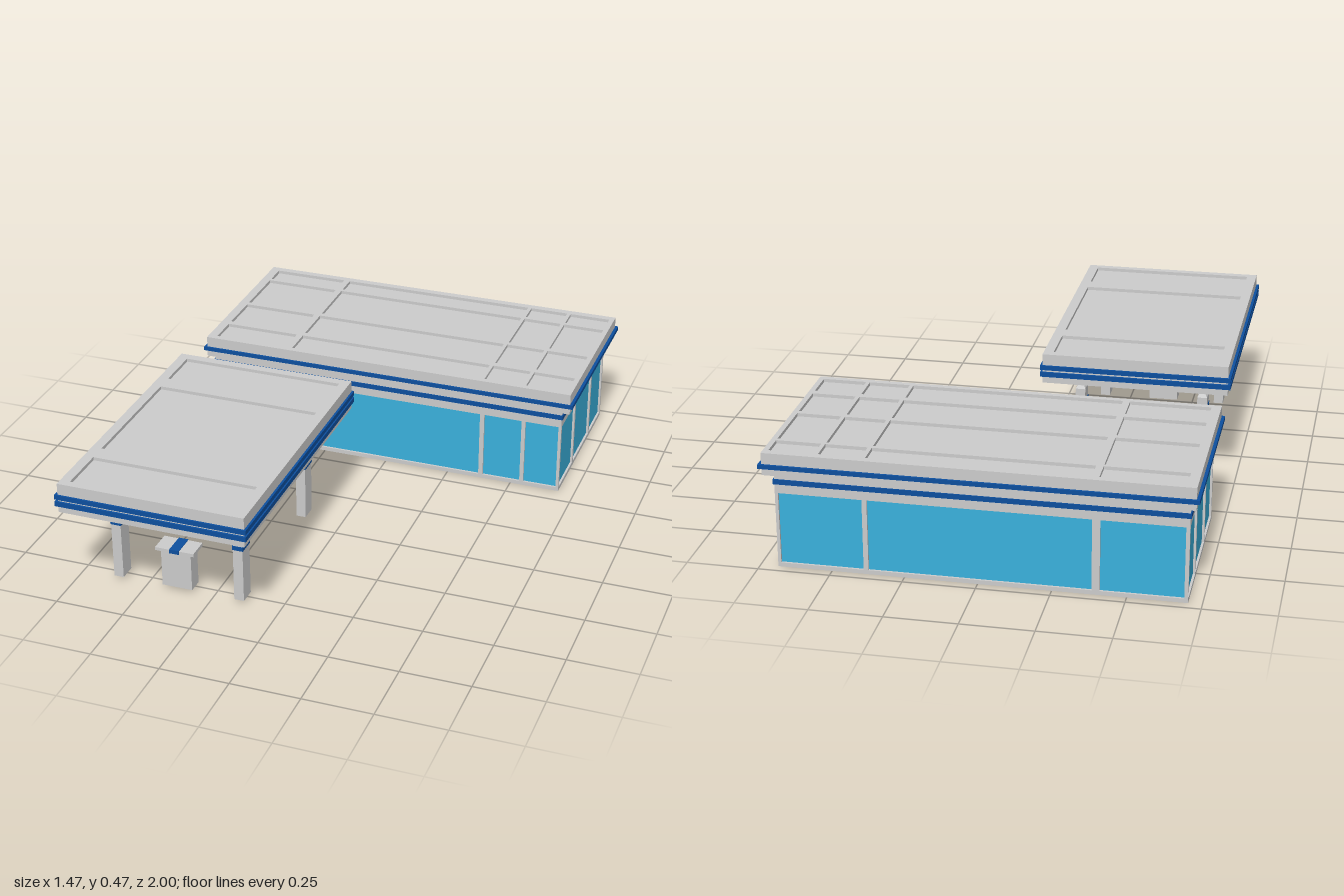
import * as THREE from 'three';

const grey = new THREE.MeshStandardMaterial({ color: 0xcccccc });
const blue = new THREE.MeshStandardMaterial({ color: 0x0d4f9e });
const glass = new THREE.MeshStandardMaterial({ color: 0x3ab0dc });

function addMesh(parent, name, geometry, material = grey) {
  const mesh = new THREE.Mesh(geometry, material);
  mesh.name = name;
  parent.add(mesh);
  return mesh;
}

// Box given by its limits on each axis
function addBox(parent, name, [x0, x1], [y0, y1], [z0, z1], material) {
  const geometry = new THREE.BoxGeometry(x1 - x0, y1 - y0, z1 - z0);
  geometry.translate((x0 + x1) / 2, (y0 + y1) / 2, (z0 + z1) / 2);
  return addMesh(parent, name, geometry, material);
}

// Flat plate with a grid of rectangular openings
function framePlate([u0, u1], [v0, v1], columns, rows, depth) {
  const rect = (Type, a, b, c, d) => new Type([[a, c], [b, c], [b, d], [a, d]].map(p => new THREE.Vector2(...p)));
  const shape = rect(THREE.Shape, u0, u1, v0, v1);
  for (const [a, b] of columns) {
    for (const [c, d] of rows) shape.holes.push(rect(THREE.Path, a, b, c, d));
  }
  return new THREE.ExtrudeGeometry(shape, { depth, bevelEnabled: false });
}

// Horizontal plate: limits in x and z, rising from height y
function addFlatFrame(parent, name, x, z, columns, rows, y, depth) {
  const flip = ([a, b]) => [-b, -a];
  const geometry = framePlate(x, flip(z), columns, rows.map(flip), depth);
  geometry.rotateX(-Math.PI / 2).translate(0, y, 0);
  return addMesh(parent, name, geometry);
}

function createShop() {
  const shop = new THREE.Group();
  shop.name = 'shop';
  const x = [-0.703, 0.688], z = [-0.967, -0.317], t = 0.008;
  const windowY = [[0.015, 0.272]];

  // Glazed core, floor and wall frames
  addBox(shop, 'glazing', [x[0] + t, x[1] - t], [0.01, 0.29], [z[0] + t, z[1] - t], glass);
  addBox(shop, 'floor', x, [0, 0.01], z);
  const wallY = [0.01, 0.345];
  const frontWindows = [[-0.69, -0.41], [-0.383, 0.373], [0.39, 0.535], [0.55, 0.677]];
  const backWindows = [[-0.69, -0.41], [-0.383, 0.373], [0.39, 0.677]];
  const sideWindows = [[-0.957, -0.783], [-0.77, -0.537], [-0.523, -0.328]];
  addMesh(shop, 'frontWall', framePlate(x, wallY, frontWindows, windowY, t)).position.z = z[1] - t;
  addMesh(shop, 'backWall', framePlate(x, wallY, backWindows, windowY, t)).position.z = z[0];
  for (const [name, px] of [['leftWall', x[1]], ['rightWall', x[0] + t]]) {
    const geometry = framePlate([z[0] + t, z[1] - t], wallY, sideWindows, windowY, t).rotateY(-Math.PI / 2);
    addMesh(shop, name, geometry).position.x = px;
  }
  addBox(shop, 'wallStripe', [x[0] - 0.004, x[1] + 0.004], [0.305, 0.323], [z[0] - 0.004, z[1] + 0.004], blue);

  // Overhanging roof with sunken panels
  const roofX = [-0.724, 0.722], roofZ = [-0.992, -0.293];
  addBox(shop, 'roofSlab', roofX, [0.345, 0.413], roofZ);
  addFlatFrame(shop, 'roofRibs', roofX, roofZ,
    [[-0.69, -0.405], [-0.38, 0.373], [0.387, 0.533], [0.547, 0.703]],
    [[-0.965, -0.88], [-0.865, -0.64], [-0.62, -0.455], [-0.43, -0.315]], 0.413, 0.012);
  addBox(shop, 'roofStripe', [-0.735, 0.733], [0.37, 0.385], [-1, -0.286], blue);
  return shop;
}

function createCanopy() {
  const canopy = new THREE.Group();
  canopy.name = 'canopy';
  const x = [-0.718, -0.041], z = [-0.043, 0.993];

  // Slab with sunken panels above and a rim below
  addBox(canopy, 'canopySlab', x, [0.378, 0.46], z);
  addFlatFrame(canopy, 'canopyRibs', x, z, [[-0.682, -0.077]],
    [[-0.01, 0.162], [0.228, 0.722], [0.787, 0.965]], 0.46, 0.012);
  addFlatFrame(canopy, 'canopyRim', x, z, [[x[0] + 0.012, x[1] - 0.012]],
    [[z[0] + 0.012, z[1] - 0.012]], 0.362, 0.016);
  for (const [y0, y1] of [[0.387, 0.405], [0.413, 0.43]]) {
    addBox(canopy, 'canopyStripe', [-0.728, -0.033], [y0, y1], [-0.05, 1], blue);
  }
  return canopy;
}

// Square post with a tapered cap and a thin pipe up to the canopy
function createPost(bandY) {
  const post = new THREE.Group();
  post.name = 'post';
  const w = 0.018, d = 0.031;
  addBox(post, 'postBody', [-w, w], [0.012, 0.273], [-d, d]);
  const cap = new THREE.CylinderGeometry(0.7 * Math.SQRT2, Math.SQRT2, 0.011, 4, 1).toNonIndexed();
  cap.rotateY(Math.PI / 4).scale(w, 1, d).translate(0, 0.2785, 0);
  cap.computeVertexNormals();
  addMesh(post, 'postCap', cap);
  addBox(post, 'postBand', [-w - 0.002, w + 0.002], [bandY, bandY + 0.016], [-d - 0.002, d + 0.002], blue);
  addMesh(post, 'postPipe', new THREE.CylinderGeometry(0.009, 0.009, 0.096, 12)).position.y = 0.33;
  return post;
}

// Low counter with a wide top and a blue strip across it
function createPump() {
  const pump = new THREE.Group();
  pump.name = 'pump';
  addBox(pump, 'pumpBody', [-0.056, 0.056], [0.012, 0.157], [-0.028, 0.028]);
  addBox(pump, 'pumpTop', [-0.072, 0.072], [0.157, 0.169], [-0.04, 0.04]);
  addBox(pump, 'pumpStripe', [-0.018, 0.018], [0.156, 0.171], [-0.042, 0.042], blue);
  return pump;
}

export function createModel() {
  const model = new THREE.Group();
  model.name = 'fuelStation';
  model.add(createShop(), createCanopy());

  // Two rows, each with two posts, a pump and a beam under the canopy
  for (const z of [0.17, 0.767]) {
    for (const [x, bandY] of [[-0.607, 0.223], [-0.151, 0.213]]) {
      const post = createPost(bandY);
      post.position.set(x, 0, z);
      model.add(post);
    }
    const pump = createPump();
    pump.position.set(-0.385, 0, z);
    model.add(pump);
    addBox(model, 'canopyBeam', [-0.616, -0.142], [0.362, 0.38], [z - 0.009, z + 0.009]);
  }
  return model;
}
